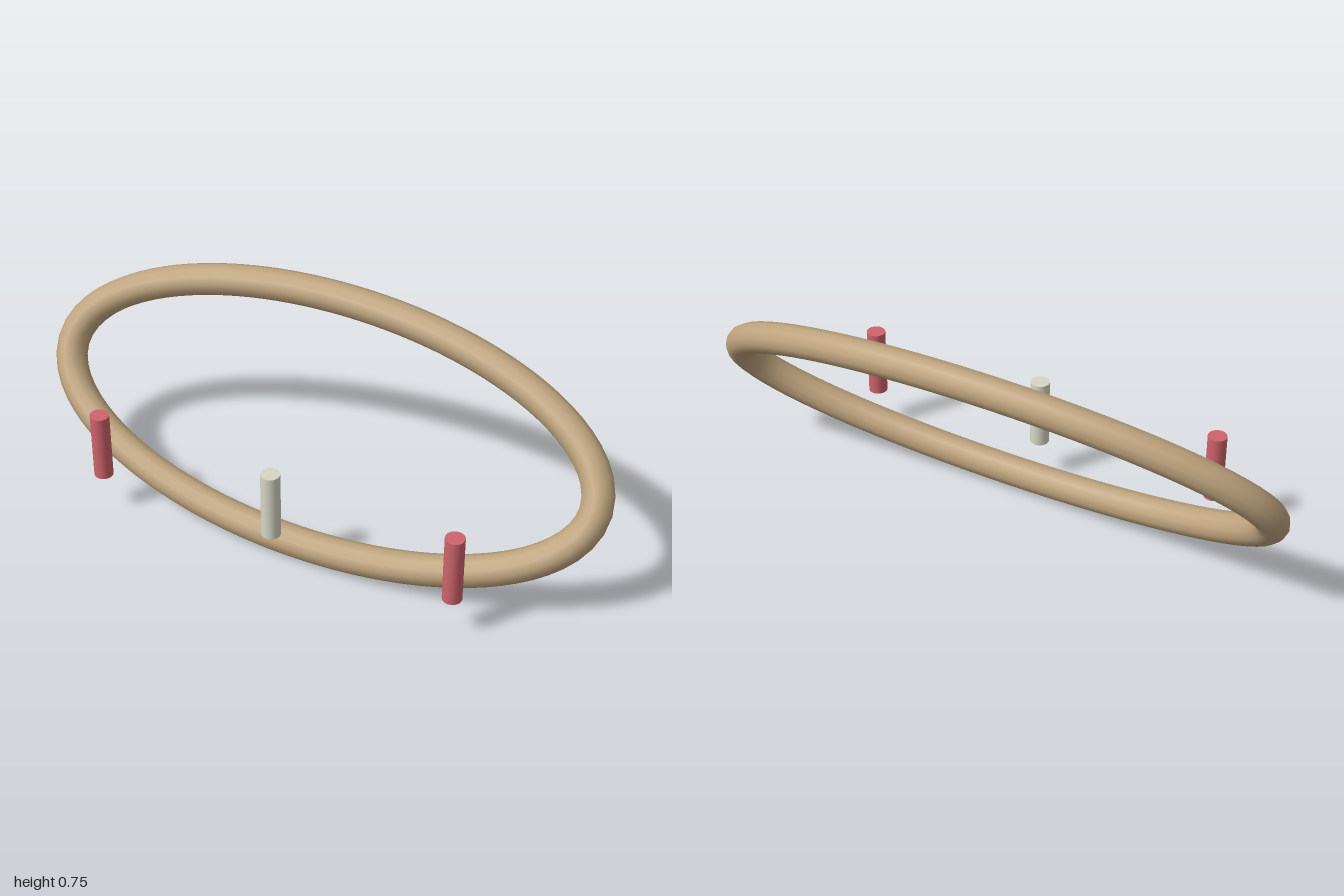
import * as THREE from 'three';

// Closed ellipse leaning back about the x axis
class TiltedEllipse extends THREE.Curve {
  constructor(radiusX, radiusY, tilt) {
    super();
    Object.assign(this, { radiusX, radiusY, tilt });
  }
  getPoint(t, target = new THREE.Vector3()) {
    const a = t * Math.PI * 2;
    const s = this.radiusY * Math.sin(a);
    return target.set(this.radiusX * Math.cos(a), s * Math.sin(this.tilt), -s * Math.cos(this.tilt));
  }
}

export function createModel() {
  const group = new THREE.Group();
  const tan = new THREE.MeshStandardMaterial({ name: 'tan', color: 0xbda27c });
  const red = new THREE.MeshStandardMaterial({ name: 'red', color: 0xcf636b });
  const pale = new THREE.MeshStandardMaterial({ name: 'paleGrey', color: 0xd6d6c6 });

  // Oval ring
  const path = new TiltedEllipse(0.948, 0.393, THREE.MathUtils.degToRad(55));
  const ring = new THREE.Mesh(new THREE.TubeGeometry(path, 96, 0.0525, 12, true), tan);
  ring.name = 'ring';
  ring.position.set(0, 0.376, -0.035);
  group.add(ring);

  // Three upright pegs in front of the ring
  const pegShape = new THREE.CylinderGeometry(0.0315, 0.0315, 0.236, 24);
  const pegs = [['rightPeg', -0.632, red], ['middlePeg', 0, pale], ['leftPeg', 0.632, red]];
  for (const [name, x, material] of pegs) {
    const peg = new THREE.Mesh(pegShape, material);
    peg.name = name;
    peg.position.set(x, 0.258, 0.282);
    group.add(peg);
  }
  return group;
}
